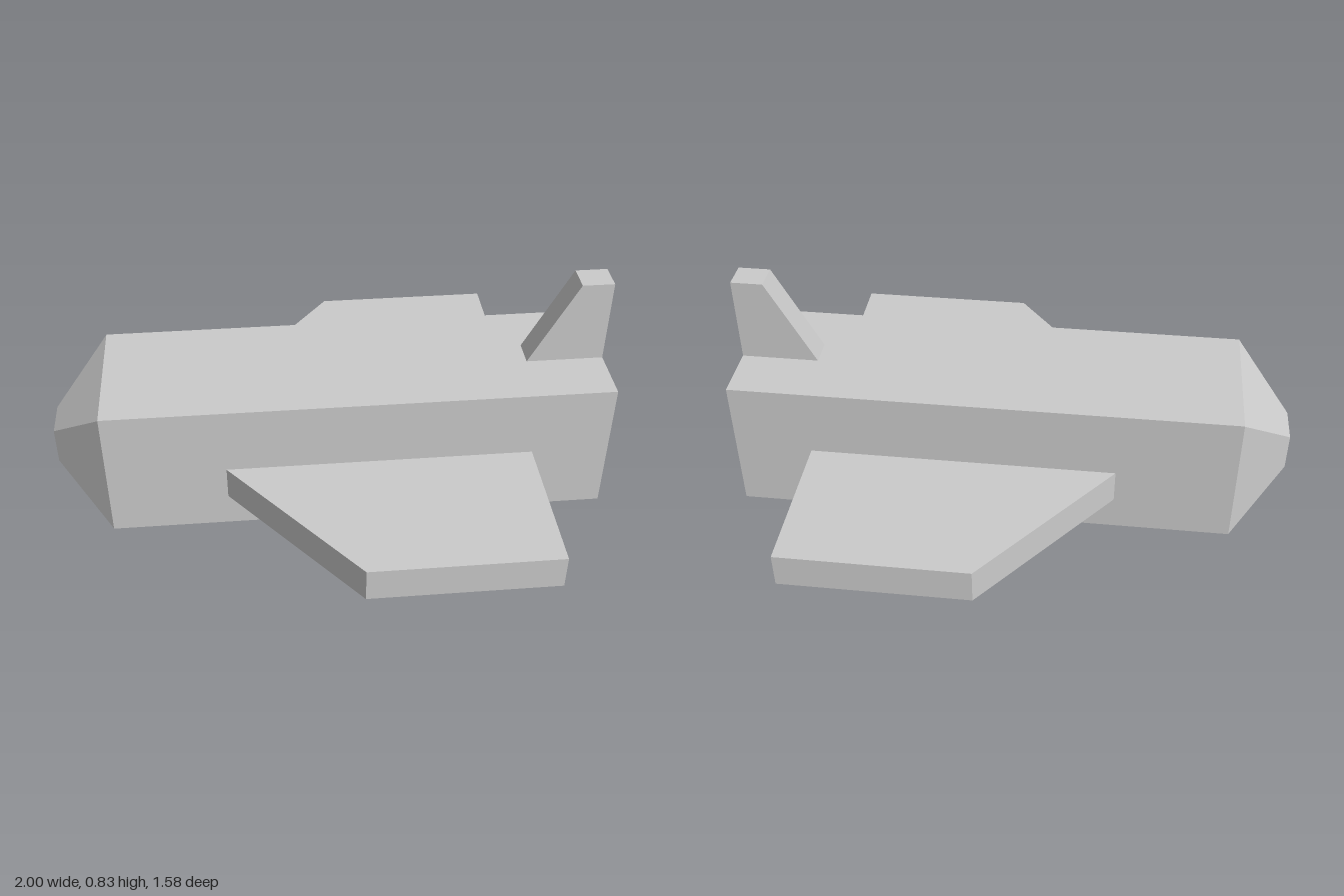
import * as THREE from 'three';

const HALF = 0.255; // half width of the hull
const MID = 0.256; // height of the hull's axis

export function createModel() {
  const model = new THREE.Group();
  model.name = 'spaceplane';
  const material = new THREE.MeshStandardMaterial({ color: 0xcccccc, flatShading: true });

  const add = (name, geometry, x = 0, y = 0, z = 0) => {
    const mesh = new THREE.Mesh(geometry, material);
    mesh.name = name;
    mesh.position.set(x, y, z);
    model.add(mesh);
  };
  // Flat plate cut from an outline
  const plate = (points, depth) => new THREE.ExtrudeGeometry(
    new THREE.Shape(points.map(([x, y]) => new THREE.Vector2(x, y))),
    { depth, bevelEnabled: false });

  // Square hull with the tail at +x
  add('fuselage', new THREE.BoxGeometry(1.81, 2 * MID, 2 * HALF), 0.095, MID, 0);

  // Nose: square frustum pointing to -x
  const nose = new THREE.CylinderGeometry(0.07 * Math.SQRT2, HALF * Math.SQRT2, 0.19, 4);
  nose.rotateY(Math.PI / 4).rotateZ(Math.PI / 2);
  add('nose', nose, -0.905, MID, 0);

  // Swept wings, mirrored across the hull
  for (const [name, side] of [['leftWing', 1], ['rightWing', -1]]) {
    const outline = [[-0.385, HALF], [0.055, 0.79], [0.72, 0.79], [0.72, HALF]];
    const wing = plate(outline.map(([x, z]) => [x, -side * z]), 0.127);
    wing.rotateX(-Math.PI / 2);
    add(name, wing, 0, 0.129, 0);
  }

  // Tail fin with a sloped leading edge
  add('tailFin', plate([[0.72, 0.512], [1, 0.512], [1, 0.828], [0.885, 0.828]], 0.1), 0, 0, -0.05);

  return model;
}
